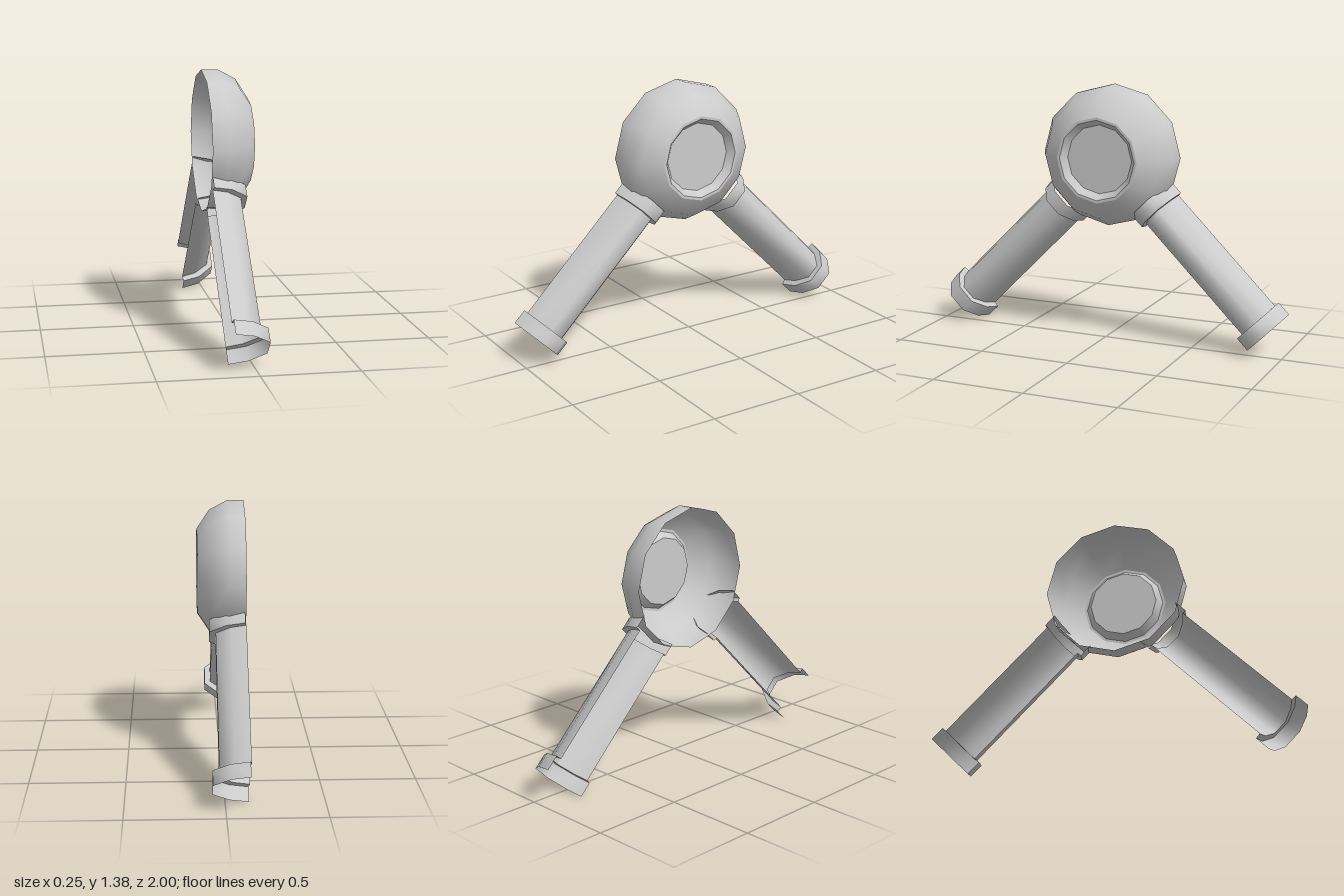
import * as THREE from 'three';

const grey = new THREE.MeshStandardMaterial({ color: 0xcccccc, side: THREE.DoubleSide });
const HUB_Y = 1;

// Open half-pipe outlines as [x, half width], mirrored into six points
const halfPipe = (pts) => [...pts, ...pts.slice().reverse().map(([x, w]) => [x, -w])];
const PIPE = halfPipe([[-0.125, 0.12], [-0.045, 0.097], [0.031, 0.041]]);
const COLLAR = halfPipe([[-0.119, 0.15], [-0.022, 0.124], [0.064, 0.054]]);
const NECK = halfPipe([[-0.119, 0.142], [-0.022, 0.118], [0.064, 0.052]]);

// Surface between two outlines at distances d0 and d1 along a leg (side +1 front, -1 rear)
function loft(name, outline0, d0, outline1, d1, side) {
  const s = Math.SQRT1_2, pos = [], index = [], n = outline0.length;
  for (const [outline, d] of [[outline0, d0], [outline1, d1]])
    for (const [x, w] of outline) pos.push(x, HUB_Y + s * (w - d), side * s * (w + d));
  for (let i = 0; i < n - 1; i++) {
    const a = i, b = i + 1, c = i + n, e = i + n + 1;
    if (side > 0) index.push(a, c, b, b, c, e);
    else index.push(a, b, c, b, e, c);
  }
  const geo = new THREE.BufferGeometry();
  geo.setAttribute('position', new THREE.Float32BufferAttribute(pos, 3));
  geo.setIndex(index);
  geo.computeVertexNormals();
  const mesh = new THREE.Mesh(geo, grey);
  mesh.name = name;
  return mesh;
}

// Twelve-sided surface turned about the hub's x axis, from [radius, x] points
function turned(name, pts) {
  const geo = new THREE.LatheGeometry(pts.map(([r, x]) => new THREE.Vector2(r, x)), 12);
  geo.rotateZ(-Math.PI / 2);
  const mesh = new THREE.Mesh(geo, grey);
  mesh.name = name;
  mesh.position.y = HUB_Y;
  return mesh;
}

export function createModel() {
  const model = new THREE.Group();
  model.name = 'pipeElbowShell';

  // Domed hub, open at the back, with a recessed round panel
  const hub = new THREE.Group();
  hub.name = 'hub';
  hub.add(
    turned('hubDome', [[0.38, -0.125], [0.38, -0.037], [0.33, 0.057], [0.23, 0.122]]),
    turned('hubRim', [[0.23, 0.122], [0.215, 0.122]]),
    turned('recessWall', [[0.215, 0.122], [0.185, 0.083]]),
    turned('recessPanel', [[0.185, 0.083], [0, 0.083]])
  );
  model.add(hub);

  // Two half-pipe legs, each with a neck collar and an end collar
  for (const side of [1, -1]) {
    const leg = new THREE.Group();
    leg.name = side > 0 ? 'frontLeg' : 'rearLeg';
    leg.add(
      loft('neckCollar', NECK, 0.33, NECK, 0.405, side),
      loft('neckLedge', NECK, 0.405, PIPE, 0.405, side),
      loft('pipe', PIPE, 0.405, PIPE, 1.182, side),
      loft('endLedge', PIPE, 1.182, COLLAR, 1.182, side),
      loft('endCollar', COLLAR, 1.182, COLLAR, 1.264, side)
    );
    model.add(leg);
  }
  return model;
}
